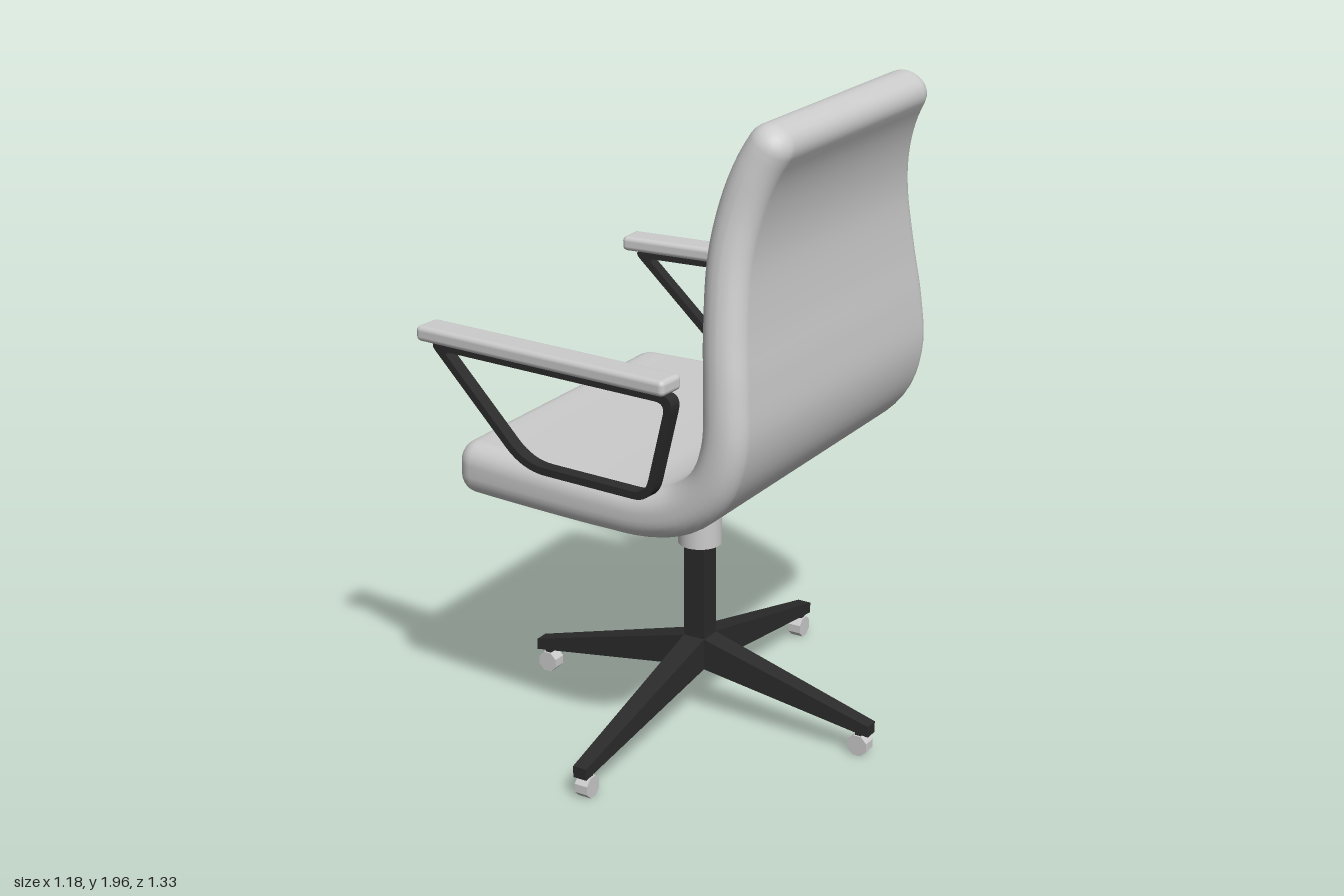
import * as THREE from 'three';
import { RoundedBoxGeometry } from 'three/addons/geometries/RoundedBoxGeometry.js';

const grey = new THREE.MeshStandardMaterial({ color: 0xcccccc });
const greyFlat = new THREE.MeshStandardMaterial({ color: 0xcccccc, flatShading: true });
const dark = new THREE.MeshStandardMaterial({ color: 0x2b2b2b });

function add(parent, name, geometry, material, x = 0, y = 0, z = 0) {
  const mesh = new THREE.Mesh(geometry, material);
  mesh.name = name;
  mesh.position.set(x, y, z);
  parent.add(mesh);
  return mesh;
}

// Padded shell: rounded-rectangle sections swept from the seat front to the top of the back.
// Each path point holds centre x, centre y and half width.
function shellGeometry() {
  const path = new THREE.CatmullRomCurve3([
    [-0.52, 0.863, 0.515], [-0.3, 0.86, 0.535], [0, 0.86, 0.56], [0.15, 0.868, 0.573],
    [0.265, 0.905, 0.58], [0.35, 0.985, 0.582], [0.39, 1.1, 0.58], [0.387, 1.25, 0.568],
    [0.372, 1.4, 0.547], [0.362, 1.6, 0.51], [0.378, 1.73, 0.483], [0.412, 1.84, 0.463],
    [0.474, 1.955, 0.437],
  ].map((p) => new THREE.Vector3(...p)));
  const length = path.getLength();
  const round = 0.055, capSteps = 6, bodySteps = 60, cornerSteps = 6;

  // Stations along the path; the ends shrink in a quarter circle
  const cap = [];
  for (let k = 0; k <= capSteps; k++) {
    const a = (1 - k / capSteps) * Math.PI / 2;
    cap.push({ u: round * (1 - Math.sin(a)) / length, inset: round * (1 - Math.cos(a)) });
  }
  const stations = [...cap];
  const u0 = round / length;
  for (let i = 1; i < bodySteps; i++) stations.push({ u: u0 + (1 - 2 * u0) * i / bodySteps, inset: 0 });
  stations.push(...cap.map((c) => ({ u: 1 - c.u, inset: c.inset })).reverse());

  const pos = [], index = [];
  const ring = 4 * (cornerSteps + 1);
  for (const { u, inset } of stations) {
    const c = path.getPointAt(u);
    const t = path.getTangentAt(u);
    const m = Math.hypot(t.x, t.y);
    const nx = -t.y / m, ny = t.x / m;
    const h = THREE.MathUtils.lerp(0.08, 0.065, Math.min(1, u * 1.4)) - inset;
    const w = c.z - inset;
    const r = Math.min(h * 0.95, Math.max(0.062 - inset, 0.008));
    for (let q = 0; q < 4; q++) {
      const sz = q === 0 || q === 3 ? 1 : -1, sn = q < 2 ? 1 : -1;
      for (let k = 0; k <= cornerSteps; k++) {
        const a = (q + k / cornerSteps) * Math.PI / 2;
        const n = sn * (h - r) + r * Math.sin(a);
        pos.push(c.x + nx * n, c.y + ny * n, sz * (w - r) + r * Math.cos(a));
      }
    }
  }
  for (let i = 0; i < stations.length - 1; i++) {
    for (let j = 0; j < ring; j++) {
      const a = i * ring + j, b = i * ring + (j + 1) % ring;
      index.push(a, a + ring, b + ring, a, b + ring, b);
    }
  }
  // End faces
  const last = (stations.length - 1) * ring;
  for (let j = 1; j < ring - 1; j++) {
    index.push(0, j, j + 1, last, last + j + 1, last + j);
  }
  const g = new THREE.BufferGeometry();
  g.setAttribute('position', new THREE.Float32BufferAttribute(pos, 3));
  g.setIndex(index);
  g.computeVertexNormals();
  return g;
}

// Traces a polygon with rounded corners; each corner is [x, y, cut length]
function roundedPolygon(target, corners) {
  const pts = corners.map(([x, y]) => new THREE.Vector2(x, y));
  const n = pts.length;
  pts.forEach((p, i) => {
    const cut = corners[i][2];
    const a = p.clone().add(pts[(i + n - 1) % n].clone().sub(p).setLength(cut));
    const b = p.clone().add(pts[(i + 1) % n].clone().sub(p).setLength(cut));
    if (i === 0) target.moveTo(a.x, a.y); else target.lineTo(a.x, a.y);
    target.quadraticCurveTo(p.x, p.y, b.x, b.y);
  });
  target.closePath();
  return target;
}

// Flat bar bent into a closed four-sided loop
function armFrameGeometry() {
  const depth = 0.04;
  const shape = roundedPolygon(new THREE.Shape(), [
    [-0.565, 1.253, 0.04], [-0.235, 0.934, 0.08], [0.205, 0.934, 0.06], [0.285, 1.253, 0.05],
  ]);
  shape.holes.push(roundedPolygon(new THREE.Path(), [
    [-0.51, 1.231, 0.02], [-0.226, 0.956, 0.07], [0.188, 0.956, 0.045], [0.257, 1.231, 0.035],
  ]));
  const g = new THREE.ExtrudeGeometry(shape, { depth, bevelEnabled: false, curveSegments: 8 });
  return g.translate(0, 0, -depth / 2);
}

// Tapered leg running out along +x
function legGeometry(length) {
  const g = new THREE.BoxGeometry(1, 1, 1);
  const p = g.attributes.position;
  for (let i = 0; i < p.count; i++) {
    const outer = p.getX(i) > 0, top = p.getY(i) > 0;
    const y = outer ? (top ? 0.105 : 0.07) : (top ? 0.268 : 0.165);
    p.setXYZ(i, outer ? length : 0, y, Math.sign(p.getZ(i)) * (outer ? 0.022 : 0.036));
  }
  g.computeVertexNormals();
  return g;
}

export function createModel() {
  const chair = new THREE.Group();
  chair.name = 'officeChair';

  add(chair, 'seatShell', shellGeometry(), grey, 0, 0, -0.004);

  // Armrests, splayed outwards toward the back
  for (const side of [1, -1]) {
    const arm = new THREE.Group();
    arm.name = side > 0 ? 'leftArm' : 'rightArm';
    arm.position.z = side * 0.573 - 0.004;
    arm.rotation.y = -side * 0.065;
    add(arm, 'armPad', new RoundedBoxGeometry(0.856, 0.046, 0.092, 3, 0.015), grey, -0.162, 1.277, 0);
    add(arm, 'armFrame', armFrameGeometry(), dark);
    chair.add(arm);
  }

  // Pedestal
  add(chair, 'columnSleeve', new THREE.CylinderGeometry(0.066, 0.066, 0.25, 32), grey, 0, 0.685, 0);
  add(chair, 'column', new THREE.BoxGeometry(0.07, 0.42, 0.07), dark, 0, 0.37, 0);

  // Four legs with casters; the pair across the depth is longer
  for (let i = 0; i < 4; i++) {
    const length = i % 2 ? 0.665 : 0.587;
    const leg = new THREE.Group();
    leg.name = 'legAssembly';
    leg.rotation.y = i * Math.PI / 2;
    add(leg, 'leg', legGeometry(length), dark);
    add(leg, 'casterStem', new THREE.BoxGeometry(0.02, 0.04, 0.03), dark, length - 0.036, 0.065, 0);
    const wheel = new THREE.CylinderGeometry(0.034, 0.034, 0.042, 8);
    wheel.rotateX(Math.PI / 2).rotateZ(Math.PI / 8);
    add(leg, 'caster', wheel, greyFlat, length - 0.036, 0.0335, 0);
    chair.add(leg);
  }
  return chair;
}
